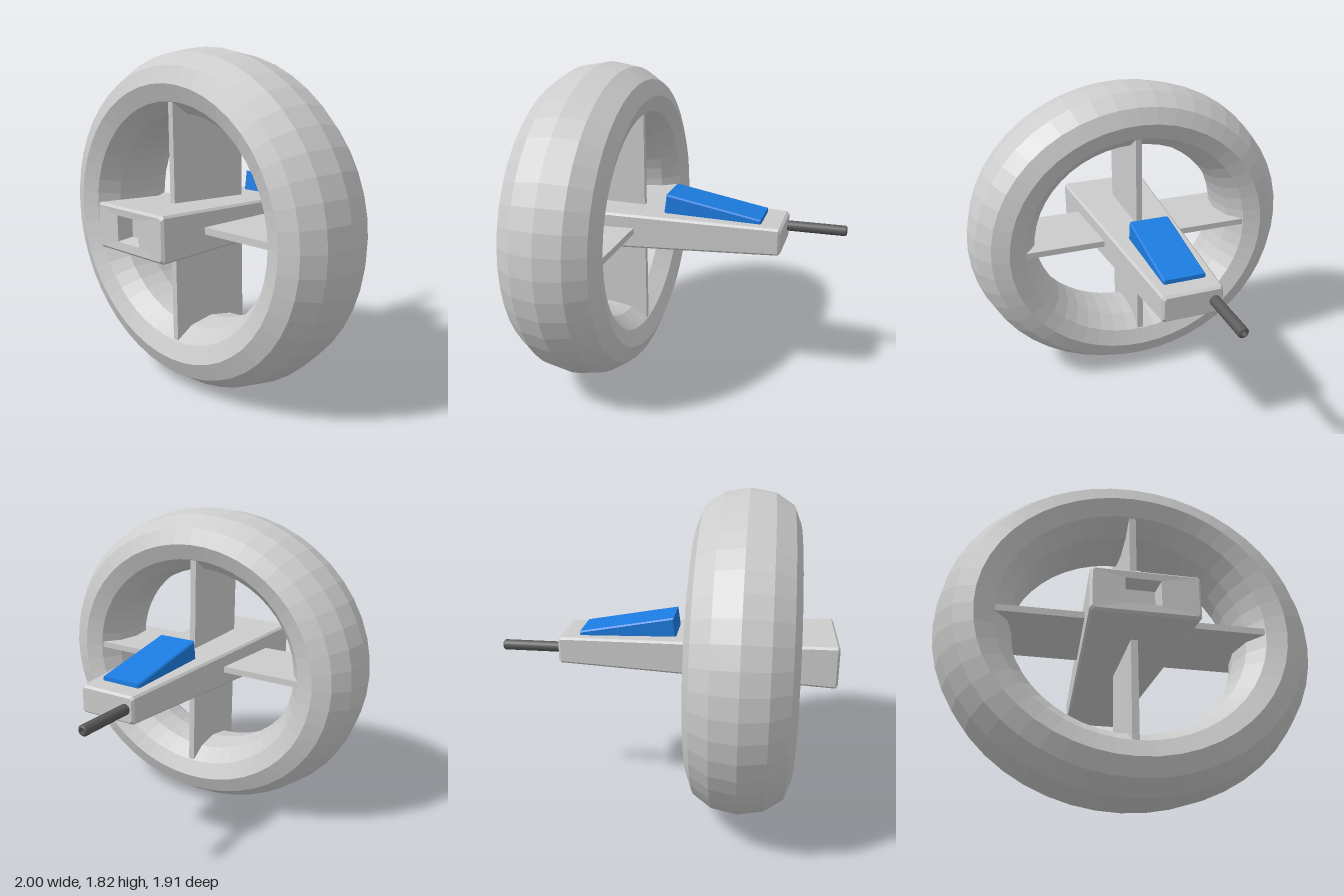
import * as THREE from 'three';

const CY = 0.912; // hub height
const WZ = 0.44; // wheel centre depth

const grey = new THREE.MeshStandardMaterial({ color: 0xcccccc, flatShading: true });
const blue = new THREE.MeshStandardMaterial({ color: 0x1c7ce0, flatShading: true });
const dark = new THREE.MeshStandardMaterial({ color: 0x5a5a5a });

function add(group, name, geometry, material, x = 0, y = 0, z = 0) {
  const mesh = new THREE.Mesh(geometry, material);
  mesh.name = name;
  mesh.position.set(x, y, z);
  group.add(mesh);
  return mesh;
}

// Skin over chamfered rectangles, each [z, halfWidth, halfHeight, chamfer, centreX, centreY], front to back
function loft(sections) {
  const pos = [], idx = [], n = 8;
  for (const [z, w, h, c, cx = 0, cy = 0] of sections) {
    const ring = [[w, h - c], [w - c, h], [c - w, h], [-w, h - c], [-w, c - h], [c - w, -h], [w - c, -h], [w, c - h]];
    for (const [x, y] of ring) pos.push(x + cx, y + cy, z);
  }
  for (let s = 0; s < sections.length - 1; s++) {
    for (let i = 0; i < n; i++) {
      const j = (i + 1) % n, a = s * n, b = a + n;
      idx.push(a + i, b + i, a + j, a + j, b + i, b + j);
    }
  }
  const last = (sections.length - 1) * n;
  for (let i = 1; i < n - 1; i++) {
    idx.push(0, i, i + 1); // recess floor, facing forward
    idx.push(last, last + i + 1, last + i); // rear face
  }
  const g = new THREE.BufferGeometry();
  g.setAttribute('position', new THREE.Float32BufferAttribute(pos, 3));
  g.setIndex(idx);
  const flat = g.toNonIndexed();
  flat.computeVertexNormals();
  return flat;
}

export function createModel() {
  const model = new THREE.Group();
  model.name = 'wheelDevice';

  // Oval ring, stretched along its axle
  const ring = new THREE.TorusGeometry(0.8, 0.2, 12, 48);
  ring.scale(1, CY, 1.4);
  add(model, 'ring', ring, grey, 0, CY, WZ);

  // Crossed fins reaching into the ring
  add(model, 'horizontalFin', new THREE.BoxGeometry(1.5, 0.036, 0.474), grey, 0, CY + 0.008, WZ);
  add(model, 'verticalFin', new THREE.BoxGeometry(0.036, 1.37, 0.474), grey, 0, CY, WZ);

  // Tapered body with a socket sunk into the front
  add(model, 'body', loft([
    [0.87, 0.075, 0.054, 0.002, -0.013, 0.003],
    [0.95, 0.088, 0.068, 0.002, -0.013, 0.003],
    [0.953, 0.258, 0.106, 0.012],
    [0.94, 0.27, 0.118, 0.012],
    [-0.608, 0.172, 0.077, 0.012],
    [-0.622, 0.16, 0.066, 0.012],
  ]), grey, 0, CY + 0.004, 0);

  // Sloping wedge on top, drawn in side profile and extruded across
  const bevel = 0.008;
  const side = new THREE.Shape([[-0.05, 0.98], [-0.032, 1.11], [0.495, 1.012], [0.5, 0.95]]
    .map(([x, y]) => new THREE.Vector2(x, y)));
  const wedge = new THREE.ExtrudeGeometry(side, {
    depth: 0.224, bevelEnabled: true, bevelSize: bevel, bevelThickness: bevel, bevelSegments: 1,
  });
  wedge.translate(0, 0, -0.112);
  wedge.rotateY(Math.PI / 2);
  add(model, 'wedge', wedge, blue);

  // Hollow rod at the back
  const profile = [[0.014, 0], [0.014, 0.37], [0.022, 0.37], [0.03, 0.36], [0.03, 0]]
    .reverse().map(([x, y]) => new THREE.Vector2(x, y));
  const rod = new THREE.LatheGeometry(profile, 20).rotateX(-Math.PI / 2);
  add(model, 'rod', rod, dark, -0.12, CY + 0.008, -0.588);

  // Rod bore end wall
  add(model, 'rodCore', new THREE.CylinderGeometry(0.016, 0.016, 0.27, 12).rotateX(Math.PI / 2), dark, -0.12, CY + 0.008, -0.723);

  return model;
}
